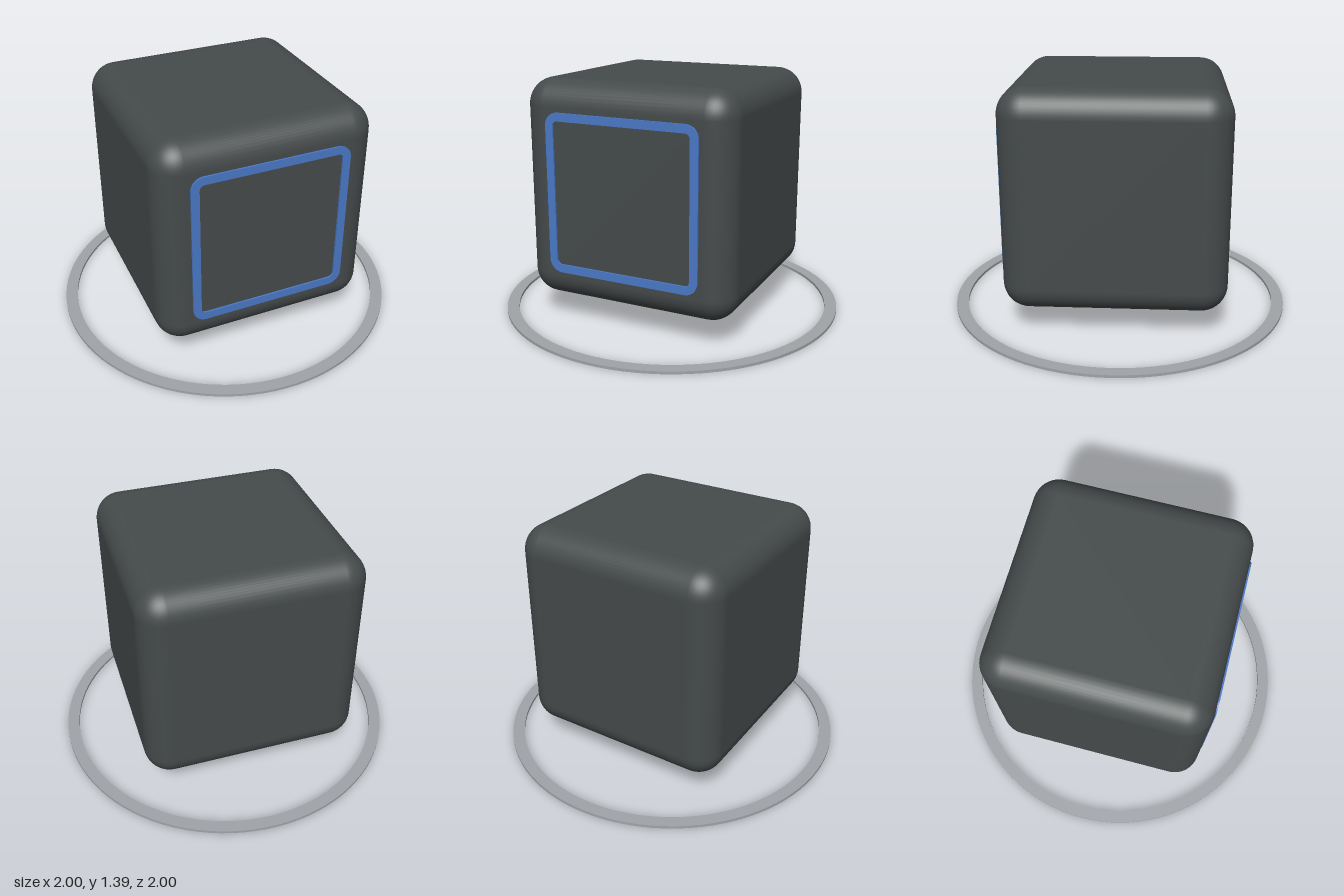
import * as THREE from 'three';
import { RoundedBoxGeometry } from 'three/addons/geometries/RoundedBoxGeometry.js';

// Traces a square with rounded corners onto a shape or path.
function roundedSquare(path, half, r) {
  const k = half - r;
  path.moveTo(-k, -half);
  path.lineTo(k, -half);
  path.absarc(k, -k, r, -Math.PI / 2, 0, false);
  path.lineTo(half, k);
  path.absarc(k, k, r, 0, Math.PI / 2, false);
  path.lineTo(-k, half);
  path.absarc(-k, k, r, Math.PI / 2, Math.PI, false);
  path.lineTo(-half, -k);
  path.absarc(-k, -k, r, Math.PI, Math.PI * 1.5, false);
  return path;
}

export function createModel() {
  const charcoal = new THREE.MeshStandardMaterial({ name: 'charcoal', color: 0x454a4a });
  const blue = new THREE.MeshStandardMaterial({ name: 'blue', color: 0x4a78c6 });
  const grey = new THREE.MeshStandardMaterial({ name: 'grey', color: 0xa0a4a8 });

  const model = new THREE.Group();
  const add = (name, geometry, material, x, y, z) => {
    const mesh = new THREE.Mesh(geometry, material);
    mesh.name = name;
    mesh.position.set(x, y, z);
    model.add(mesh);
    return mesh;
  };

  // Floating cube with soft edges
  add('cubeBody', new RoundedBoxGeometry(1.25, 1.25, 1.25, 6, 0.15), charcoal, 0, 0.77, 0);

  // Thin blue frame on the front face
  const frame = roundedSquare(new THREE.Shape(), 0.453, 0.075);
  frame.holes.push(roundedSquare(new THREE.Path(), 0.406, 0.028));
  add('frontFrame', new THREE.ExtrudeGeometry(frame, { depth: 0.015, bevelEnabled: false, curveSegments: 8 }),
    blue, 0, 0.77, 0.62);

  // Flat ring on the ground
  const ring = new THREE.Shape().absarc(0, 0, 1, 0, Math.PI * 2, false);
  ring.holes.push(new THREE.Path().absarc(0, 0, 0.93, 0, Math.PI * 2, true));
  const ringMesh = add('groundRing',
    new THREE.ExtrudeGeometry(ring, { depth: 0.016, bevelEnabled: false, curveSegments: 48 }), grey, 0, 0, 0);
  ringMesh.rotation.x = -Math.PI / 2;

  return model;
}
